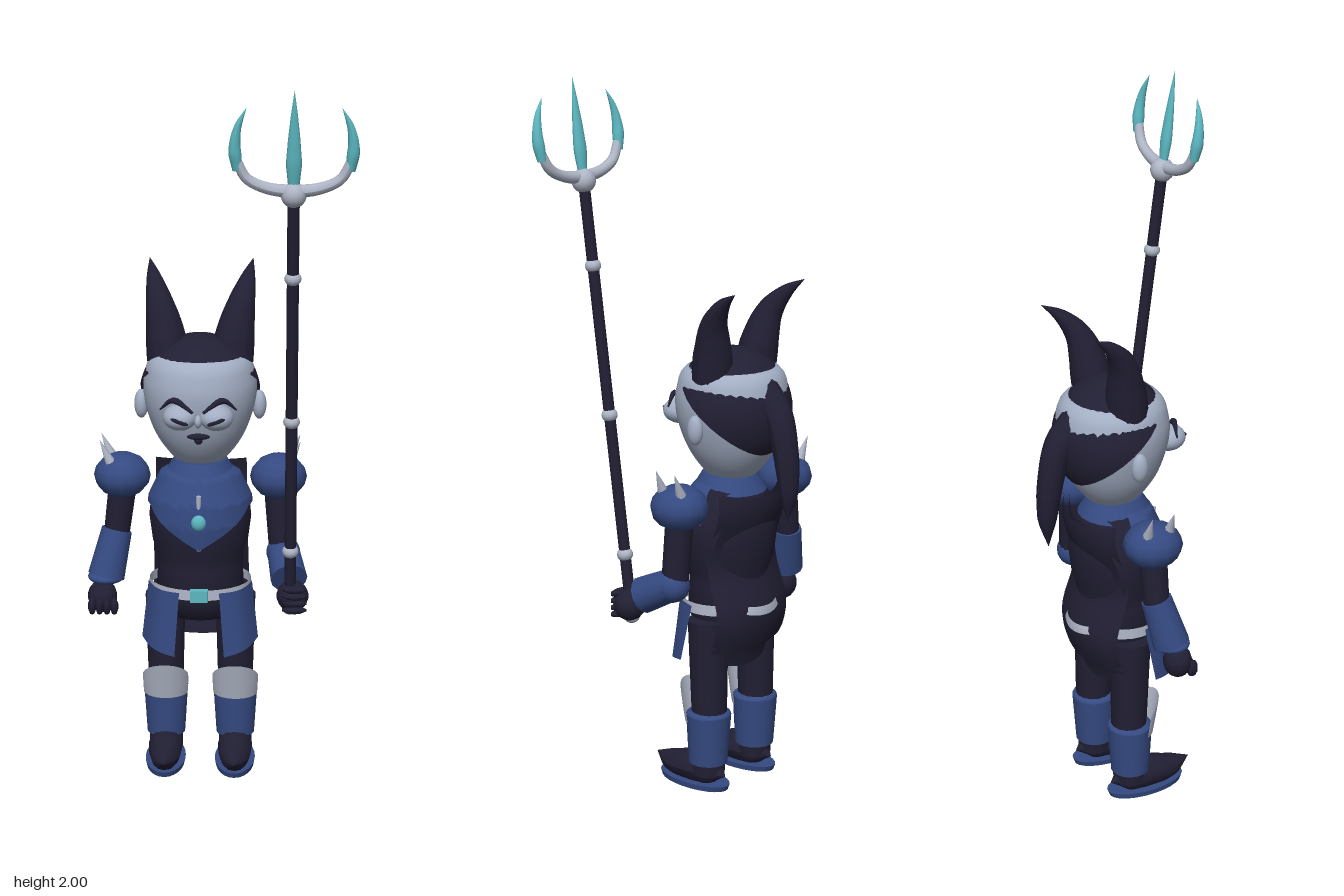
import * as THREE from 'three';
import { ParametricGeometry } from 'three/addons/geometries/ParametricGeometry.js';

const paint = (name, color) => new THREE.MeshStandardMaterial({ name, color, side: THREE.DoubleSide });
const V = (x, y, z) => new THREE.Vector3(x, y, z);

export function createModel() {
  const model = new THREE.Group();
  model.name = 'hornedGuard';
  const dark = paint('darkCloth', 0x211f33);
  const blue = paint('blueArmour', 0x354a82);
  const silver = paint('silver', 0xaeb5c5);
  const skin = paint('paleSkin', 0xa3aec4);
  const teal = paint('tealCrystal', 0x5cb8c2);

  const add = (name, geo, mat, parent = model) => {
    const m = new THREE.Mesh(geo, mat);
    m.name = name;
    parent.add(m);
    return m;
  };
  const ball = (name, mat, p, r, parent = model, seg = 20) => {
    const m = add(name, new THREE.SphereGeometry(1, seg, Math.ceil(seg * 0.6)), mat, parent);
    m.position.set(...p);
    m.scale.set(...r);
    return m;
  };
  // Straight tapered segment from a to b
  const limb = (name, mat, a, b, ra, rb, parent = model, seg = 14) => {
    const A = V(...a), B = V(...b), d = B.clone().sub(A);
    const m = add(name, new THREE.CylinderGeometry(rb, ra, d.length(), seg), mat, parent);
    m.position.copy(A).add(B).multiplyScalar(0.5);
    m.quaternion.setFromUnitVectors(V(0, 1, 0), d.normalize());
    return m;
  };
  // Curved tube whose radius follows a list of values
  const sweep = (name, mat, pts, radii, parent = model, n = 18) => {
    const curve = new THREE.CatmullRomCurve3(pts.map(p => V(...p)));
    const geo = new THREE.TubeGeometry(curve, n, 1, 12);
    const pos = geo.attributes.position, v = V();
    for (let i = 0; i < pos.count; i++) {
      const t = Math.floor(i / 13) / n, c = curve.getPointAt(t);
      const f = t * (radii.length - 1), k = Math.min(Math.floor(f), radii.length - 2);
      const r = THREE.MathUtils.lerp(radii[k], radii[k + 1], f - k);
      v.fromBufferAttribute(pos, i).sub(c).multiplyScalar(r).add(c);
      pos.setXYZ(i, v.x, v.y, v.z);
    }
    geo.computeVertexNormals();
    return add(name, geo, mat, parent);
  };
  const sheet = (name, mat, fn, nu = 20, nv = 10, parent = model) =>
    add(name, new ParametricGeometry((u, v, t) => t.set(...fn(u, v)), nu, nv), mat, parent);

  // Body parts share a centre line slightly off to the model's right
  const body = new THREE.Group();
  body.name = 'body';
  body.position.x = -0.045;
  model.add(body);

  // Torso
  const profile = [[0, .44], [.09, .45], [.125, .51], [.12, .6], [.122, .635], [.135, .67], [.144, .74], [.138, .8], [.105, .87], [.06, .9], [0, .905]];
  const torso = add('torso', new THREE.LatheGeometry(profile.map(p => new THREE.Vector2(...p)), 28), dark, body);
  torso.scale.z = 0.88;
  torso.position.z = -0.05;
  const torsoRadius = y => {
    let k = 1;
    while (k < profile.length - 2 && profile[k + 1][1] < y) k++;
    const [a, b] = [profile[k], profile[k + 1]];
    return THREE.MathUtils.lerp(a[0], b[0], (y - a[1]) / (b[1] - a[1]));
  };
  sheet('chestPlate', blue, (u, v) => {
    const a = (u - 0.5) * 3.5;
    const low = 0.675 + 0.11 * Math.min(1, Math.abs(a) / 1.2);
    const y = THREE.MathUtils.lerp(low, 0.885, v), r = torsoRadius(y) + 0.008;
    return [Math.sin(a) * r, y, -0.05 + Math.cos(a) * r * 0.9];
  }, 32, 14, body);
  const collar = add('collar', new THREE.CylinderGeometry(0.075, 0.105, 0.05, 20), blue, body);
  collar.position.set(0, 0.885, -0.05);
  limb('emblemRod', silver, [0, .675, .072], [0, .835, .075], .007, .007, body, 8);
  ball('emblemGem', teal, [0, .76, .086], [.021, .023, .014], body, 12);

  // Belt
  const belt = add('belt', new THREE.CylinderGeometry(0.144, 0.146, 0.03, 28, 1, true), silver, body);
  belt.position.set(0, 0.54, -0.05);
  belt.scale.z = 0.84;
  const buckle = add('beltBuckle', new THREE.BoxGeometry(0.05, 0.034, 0.02), teal, body);
  buckle.position.set(0, 0.54, 0.073);

  // Cape with a belt strap over it
  const capeZ = y => -0.165 - 0.02 * Math.cos((y - 0.84) * 19) - 0.012 * (y < 0.42 ? -2 : 0);
  const capeSheet = (name, mat, w, y0, y1, out, sag) => sheet(name, mat, (u, v) => {
    const x = u * 2 - 1, y = THREE.MathUtils.lerp(y0 + sag * x * x, y1 + (sag && sag * x * x * 0.6), v);
    return [x * w * (1 - 0.08 * v), y, capeZ(y) + 0.04 * x * x - out];
  }, 16, 20, body);
  capeSheet('cape', dark, 0.14, 0.355, 0.86, 0, 0.035);
  capeSheet('capeLining', dark, 0.138, 0.36, 0.855, -0.02, 0.035);
  capeSheet('capeStrap', silver, 0.1, 0.52, 0.545, 0.008, 0.02);

  // Head
  const egg = [[0, .875], [.045, .89], [.085, .925], [.12, .975], [.143, 1.03], [.157, 1.09], [.155, 1.15], [.125, 1.21], [0, 1.25]];
  const eggCurve = new THREE.SplineCurve(egg.map(p => new THREE.Vector2(...p))).getPoints(30);
  eggCurve.forEach(p => { p.x = Math.max(p.x, 0); });
  const head = add('head', new THREE.LatheGeometry(eggCurve, 32), skin, body);
  head.position.z = -0.06;
  // Hood: a dome whose lower edge rises at the front and drops at the back
  sheet('hood', dark, (u, v) => {
    const a = u * Math.PI * 2, c = Math.cos(a);
    const p = v * THREE.MathUtils.degToRad(80 - 41.5 * c + 7.5 * c * c);
    const s = Math.sin(p);
    return [Math.sin(a) * s * 0.169, 1.09 + 0.175 * Math.cos(p), -0.06 + c * s * 0.165];
  }, 36, 14, body);
  sweep('hoodTail', dark, [[0, 1.17, -.17], [0, 1.1, -.225], [0, 1, -.253], [0, .89, -.265], [0, .8, -.262]],
    [.04, .042, .038, .034, .026, 0], body);
  ball('nose', skin, [0, 1.06, .105], [.011, .018, .02], body, 12);
  ball('mouth', dark, [0, 1.01, .083], [.032, .009, .008], body, 12);
  ball('chinTuft', dark, [0, 0.998, .078], [.012, .012, .009], body, 10);

  for (const s of [-1, 1]) {
    const side = s > 0 ? 'left' : 'right';
    // Face
    ball(side + 'Ear', skin, [s * .165, 1.06, -.07], [.02, .042, .024], body, 14);
    ball(side + 'Eye', skin, [s * .05, 1.068, .09], [.047, .036, .049], body);
    const slit = ball(side + 'Pupil', dark, [s * .05, 1.067, .134], [.026, .007, .006], body, 12);
    slit.rotation.z = s * 0.35;
    sweep(side + 'Brow', dark, [[s * .105, 1.088, .085], [s * .068, 1.118, .098], [s * .014, 1.088, .118]],
      [.002, .009, .004], body, 12);
    // Horn
    sweep(side + 'Horn', dark, [[s * .09, 1.19, -.065], [s * .098, 1.27, -.075], [s * .115, 1.35, -.095], [s * .132, 1.41, -.14], [s * .145, 1.45, -.195]],
      [.058, .056, .046, .033, .018, 0], body);

    // Shoulder and spikes
    ball(side + 'Shoulder', blue, [s * .22, .853, -.062], [.08, .064, .083], body, 12);
    for (const z of [-.095, -.03])
      limb('shoulderSpike', silver, [s * .247, .89, z], [s * .28, .962, z * 1.05], .017, .0005, body, 8);

    // Leg
    const x = s * .1;
    limb(side + 'Thigh', dark, [x, .2, -.065], [x, .5, -.06], .05, .058, body);
    limb(side + 'Shin', blue, [x, .075, -.06], [x, .22, -.062], .055, .064, body, 18);
    ball(side + 'ShinCuff', blue, [x, .218, -.062], [.064, .02, .064], body);
    sheet(side + 'KneePad', silver, (u, v) => {
      const a = (u - .5) * 2.4, e = Math.abs(u - .5) * 2;
      const y = .2 + v * (.11 - .045 * e * e), r = .067 + .022 * v;
      return [x + Math.sin(a) * r * (1 - .22 * v), y, -.063 + Math.cos(a) * r];
    }, 12, 6, body);
    // Boot
    const boot = sweep(side + 'Boot', dark, [[x, .045, -.125], [x, .05, -.09], [x, .05, -.01], [x, .043, .06], [x, .055, .137]],
      [0, .045, .05, .046, .033, 0], body);
    boot.scale.y = 0.95;
    limb(side + 'Ankle', dark, [x, .04, -.06], [x, .09, -.06], .048, .05, body);
    const sole = add(side + 'Sole', new THREE.CylinderGeometry(1, 0.95, 0.016, 24), blue, body);
    sole.position.set(x, .008, -.01);
    sole.scale.set(.058, 1, .122);

    // Flared hip plate
    sheet(side + 'HipPlate', blue, (u, v) => {
      const L = THREE.MathUtils.lerp, bow = Math.sin(u * Math.PI) * .022;
      return [s * (L(L(.056, .147, u), L(.07, .165, u), v) + bow * .5),
        L(.545, L(.355, .385, u), v), L(L(.064, -.04, u), L(.072, -.015, u), v) + bow];
    }, 10, 6, body);
  }

  // Right arm hanging down
  limb('rightUpperArm', dark, [-.262, .84, -.062], [-.285, .66, -.06], .04, .036);
  limb('rightForearm', blue, [-.282, .69, -.06], [-.312, .56, -.03], .043, .052);
  ball('rightCuff', blue, [-.312, .56, -.03], [.052, .02, .052]);
  ball('rightHand', dark, [-.322, .505, -.015], [.042, .048, .04], model, 14);
  // Left arm bent forward to grip the weapon
  limb('leftUpperArm', dark, [.172, .84, -.062], [.187, .635, -.055], .04, .038);
  ball('leftElbow', blue, [.19, .63, -.05], [.048, .048, .048]);
  limb('leftForearm', blue, [.19, .635, -.055], [.207, .585, .045], .046, .052);
  ball('leftHand', dark, [.217, .55, .088], [.045, .045, .045], model, 14);
  for (let i = 0; i < 4; i++) {
    ball('rightFinger', dark, [-.35 + i * .021, .485, .016], [.012, .026, .018], model, 8);
    ball('leftFinger', dark, [.222, .52 + i * .02, .122], [.036, .011, .016], model, 8);
  }

  // Trident, leaning forward
  const trident = new THREE.Group();
  trident.name = 'trident';
  trident.position.set(.21, .5, .085);
  trident.rotation.x = 0.138;
  model.add(trident);
  limb('shaft', dark, [0, .01, 0], [0, 1.24, 0], .016, .016, trident, 12);
  for (const y of [.015, .192, .586, 1.0])
    ball('shaftRing', silver, [0, y, 0], [.023, .02, .023], trident, 12);
  ball('forkHub', silver, [0, 1.232, 0], [.034, .034, .034], trident, 14);
  sweep('forkCrescent', silver, [[-.148, 1.325, 0], [-.122, 1.277, 0], [-.07, 1.251, 0], [0, 1.243, 0], [.07, 1.251, 0], [.122, 1.277, 0], [.148, 1.325, 0]],
    [.013, .015, .018, .015, .013], trident, 30);
  const spear = sweep('centreBlade', teal, [[0, 1.25, 0], [0, 1.38, 0], [0, 1.514, 0]], [.014, .021, .016, .009, 0], trident);
  spear.scale.z = 0.7;
  for (const s of [-1, 1])
    sweep('sideBlade', teal, [[s * .146, 1.3, 0], [s * .153, 1.36, 0], [s * .145, 1.415, 0], [s * .122, 1.468, 0]],
      [.013, .017, .013, .008, 0], trident);

  return model;
}
